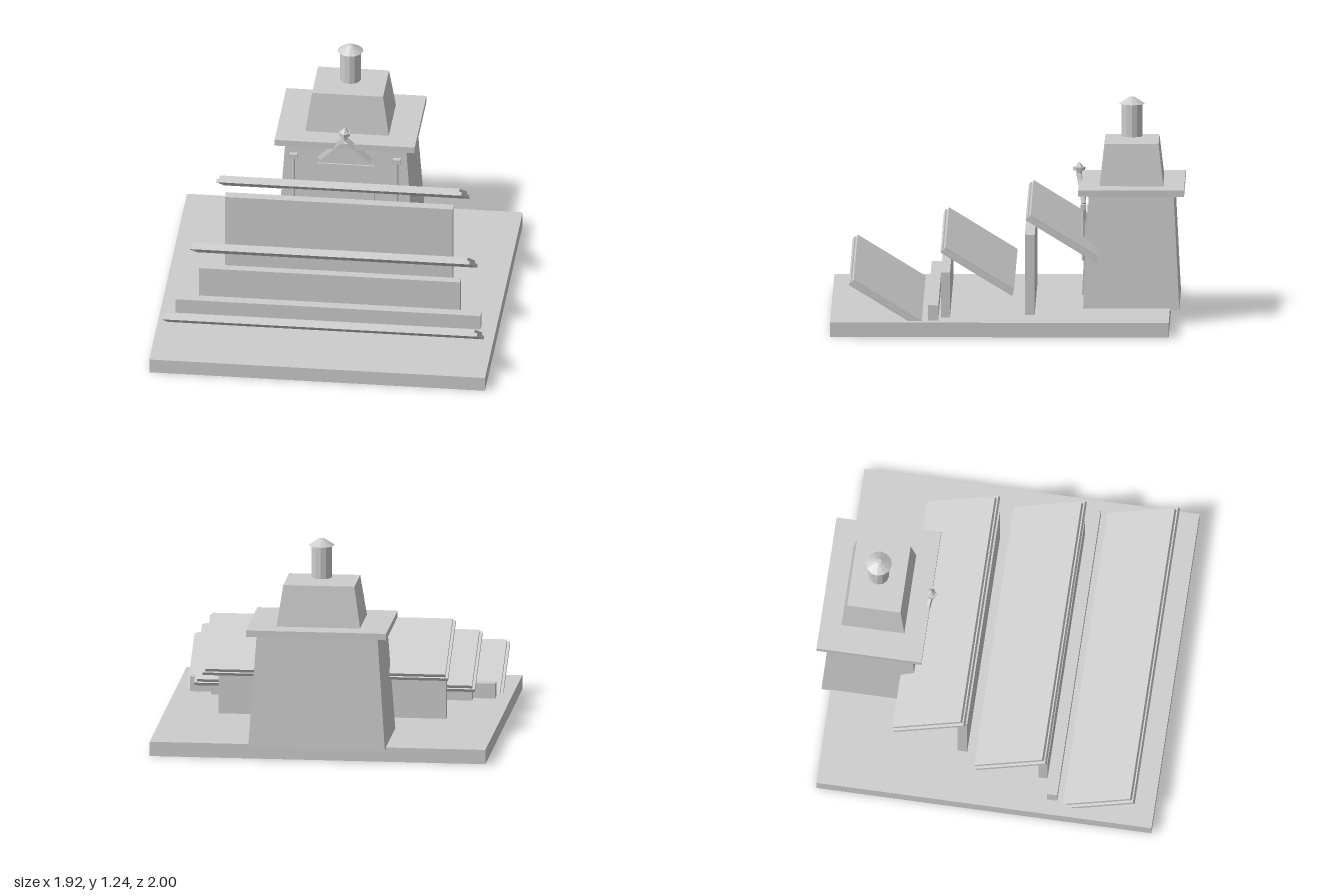
import * as THREE from 'three';

export function createModel() {
  const model = new THREE.Group();
  const grey = new THREE.MeshStandardMaterial({ color: 0xcccccc, flatShading: true, side: THREE.DoubleSide });
  grey.name = 'plain grey';

  const add = (name, geometry, x, y, z, parent = model) => {
    const mesh = new THREE.Mesh(geometry, grey);
    mesh.name = name;
    mesh.position.set(x, y, z);
    parent.add(mesh);
    return mesh;
  };
  const box = (name, w, y0, y1, z0, z1, x = 0) =>
    add(name, new THREE.BoxGeometry(w, y1 - y0, z1 - z0), x, (y0 + y1) / 2, (z0 + z1) / 2);
  // Four-sided tapered block; top and bottom are half depths, ratio is width over depth
  const taper = (name, top, bottom, ratio, y0, y1, z) => {
    const g = new THREE.CylinderGeometry(top * Math.SQRT2, bottom * Math.SQRT2, y1 - y0, 4);
    g.rotateY(Math.PI / 4).scale(ratio, 1, 1);
    return add(name, g, 0, (y0 + y1) / 2, z);
  };
  const round = (name, rTop, rBottom, y0, y1, z, sides, x = 0) =>
    add(name, new THREE.CylinderGeometry(rTop, rBottom, y1 - y0, sides), x, (y0 + y1) / 2, z);

  // Base tray, open underneath
  const tray = new THREE.BoxGeometry(1.916, 0.083, 1.92);
  const faces = Array.from(tray.index.array);
  faces.splice(18, 6);
  tray.setIndex(faces);
  tray.clearGroups();
  add('base', tray, 0, 0.0415, 0.04);

  // Tilted roof panels, each a wide lower board and a smaller upper one
  for (const [halfWidth, y, z] of [[0.9, 0.183, 0.683], [0.8, 0.355, 0.164], [0.7, 0.526, -0.318]]) {
    const panel = new THREE.Group();
    panel.name = 'tiltedPanel';
    panel.position.set(0, y, z);
    panel.rotation.x = -0.55;
    add('lowerBoard', new THREE.BoxGeometry(halfWidth * 2, 0.02, 0.475), 0, -0.01, 0, panel);
    add('upperBoard', new THREE.BoxGeometry(halfWidth * 2 - 0.03, 0.02, 0.457), 0, 0.01, 0, panel);
    model.add(panel);
  }

  // Upright walls behind the panels
  box('lowWall', 1.74, 0.06, 0.17, 0.388, 0.447);
  box('middleWall', 1.49, 0.05, 0.34, 0.323, 0.374);
  box('highWall', 1.3, 0.075, 0.543, -0.156, -0.1);

  // Tower
  taper('towerBody', 0.241, 0.273, 1.43, 0.075, 0.725, -0.7);
  box('towerLedge', 0.8, 0.725, 0.762, -1, -0.4);
  taper('towerTop', 0.153, 0.18, 1.325, 0.762, 0.998, -0.7);
  round('chimney', 0.059, 0.059, 1.016, 1.202, -0.7, 12);
  round('chimneyCap', 0.015, 0.074, 1.202, 1.24, -0.7, 12);

  // Doorway on the tower front
  const door = add('door', new THREE.BoxGeometry(0.33, 0.475, 0.014), 0, 0.364, -0.437);
  door.rotation.x = -0.049;
  const up = new THREE.Vector3(0, 1, 0);
  for (const s of [-1, 1]) {
    round('column', 0.009, 0.009, 0.345, 0.64, -0.426, 8, s * 0.295);
    box('columnCap', 0.044, 0.638, 0.665, -0.44, -0.413, s * 0.295);
    // Sloping gable bar
    const from = new THREE.Vector3(0, 0.8, -0.398);
    const to = new THREE.Vector3(s * 0.145, 0.645, -0.428);
    const run = to.clone().sub(from);
    const mid = from.add(to).multiplyScalar(0.5);
    const bar = add('gableBar', new THREE.BoxGeometry(0.025, run.length(), 0.018), mid.x, mid.y, mid.z);
    bar.quaternion.setFromUnitVectors(up, run.normalize());
  }

  // Finial on the gable
  round('finialStem', 0.018, 0.014, 0.785, 0.822, -0.4, 6);
  round('finialDisc', 0.036, 0.034, 0.82, 0.838, -0.4, 6);
  round('finialTip', 0.004, 0.026, 0.838, 0.865, -0.4, 6);

  return model;
}
